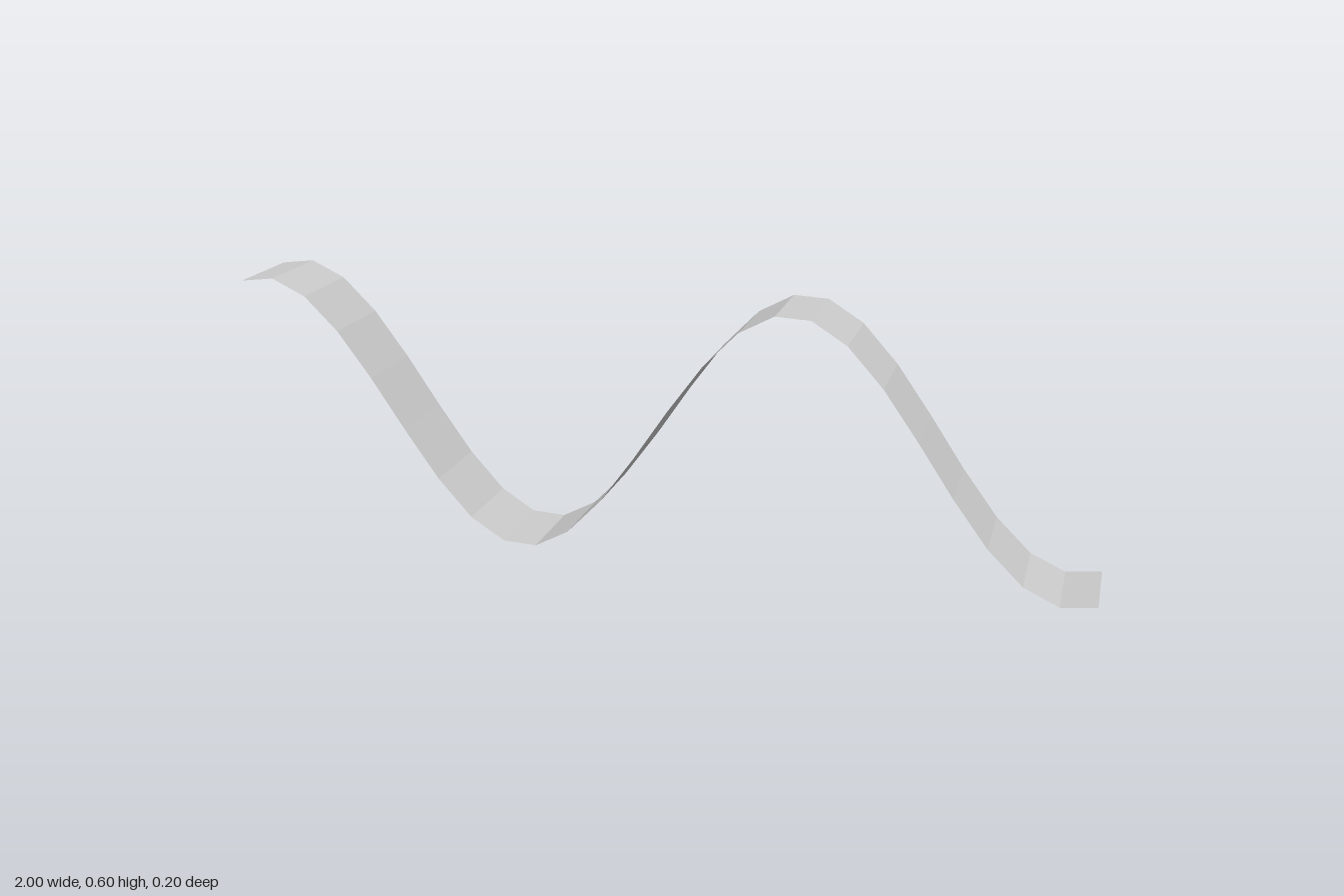
import * as THREE from 'three';

// A thin ribbon bent into a sine wave along x
export function createModel() {
  const group = new THREE.Group();
  const length = 2, width = 0.2, segments = 25;
  const amplitude = 0.302, frequency = 5;

  const geometry = new THREE.PlaneGeometry(length, width, segments, 1);
  geometry.rotateX(-Math.PI / 2);

  // Lift each row of the flat strip onto the wave
  const pos = geometry.attributes.position;
  for (let i = 0; i < pos.count; i++) {
    pos.setY(i, amplitude * Math.sin(frequency * pos.getX(i)));
  }

  // Rest the lowest row on the ground
  geometry.computeBoundingBox();
  geometry.translate(0, -geometry.boundingBox.min.y, 0);
  geometry.computeVertexNormals();

  const ribbon = new THREE.Mesh(
    geometry,
    new THREE.MeshStandardMaterial({ color: 0xcccccc, flatShading: true, side: THREE.DoubleSide })
  );
  ribbon.name = 'waveRibbon';
  group.add(ribbon);
  return group;
}
